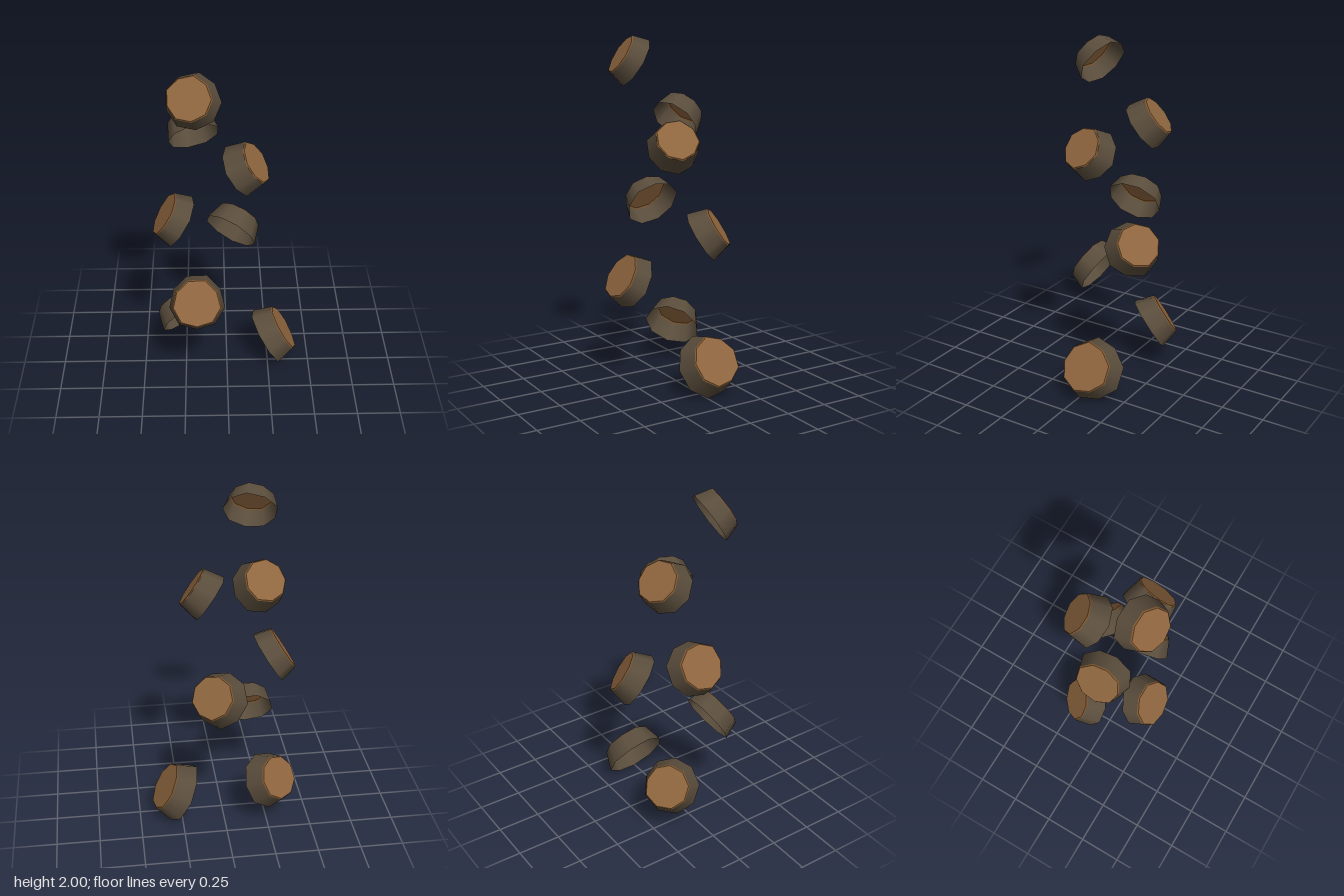
import * as THREE from 'three';

const SIDES = 9;

// Small seeded generator for the uneven outlines
function seeded(seed) {
  let s = seed * 7919 + 13;
  return () => ((s = (s * 16807) % 2147483647) / 2147483647);
}

// Scale each spoke of a round geometry (axis y) by its own factor
function roughen(geometry, factors) {
  const p = geometry.attributes.position;
  for (let i = 0; i < p.count; i++) {
    const x = p.getX(i), z = p.getZ(i);
    if (Math.hypot(x, z) < 1e-5) continue;
    const turn = Math.atan2(x, z) / (Math.PI * 2) + 1;
    const f = factors[Math.round(turn * SIDES) % SIDES];
    p.setX(i, x * f);
    p.setZ(i, z * f);
  }
  return geometry;
}

export function createModel() {
  const bark = new THREE.MeshStandardMaterial({ color: 0x5a4d3c, side: THREE.DoubleSide });
  const wood = new THREE.MeshStandardMaterial({ color: 0x8f663f, side: THREE.DoubleSide });
  const woodEdge = new THREE.MeshStandardMaterial({ color: 0x7f552c, side: THREE.DoubleSide });
  bark.name = 'bark';
  wood.name = 'cut wood';
  woodEdge.name = 'cut wood edge';

  // One open stub: tapered bark wall, narrow worn edge, flat cut face
  function makeStub({ rim, normal, depth, rimR, capR }, index) {
    const rand = seeded(index + 1);
    const factors = Array.from({ length: SIDES }, () => 0.96 + rand() * 0.09);
    const lip = 0.006;
    const wallH = depth - lip;
    const stub = new THREE.Group();
    stub.name = 'stub' + (index + 1);

    const add = (name, geometry, material) => {
      const mesh = new THREE.Mesh(roughen(geometry, factors), material);
      mesh.name = name;
      stub.add(mesh);
    };
    add('barkWall', new THREE.CylinderGeometry(capR + lip, rimR, wallH, SIDES, 1, true)
      .translate(0, wallH / 2, 0), bark);
    add('cutEdge', new THREE.CylinderGeometry(capR, capR + lip, lip, SIDES, 1, true)
      .translate(0, depth - lip / 2, 0), woodEdge);
    add('cutFace', new THREE.CircleGeometry(capR, SIDES, Math.PI / 2)
      .rotateX(-Math.PI / 2).rotateY(Math.PI).translate(0, depth, 0), wood);

    stub.quaternion.setFromUnitVectors(
      new THREE.Vector3(0, 1, 0), new THREE.Vector3(...normal).normalize());
    stub.position.set(...rim);
    return stub;
  }

  // Stubs spiralling upward: centre of the open rim, outward direction, sizes
  const stubs = [
    { rim: [0.246, 0.163, -0.042], normal: [0.85, 0.51, -0.06], depth: 0.12, rimR: 0.182, capR: 0.142 },
    { rim: [-0.245, 0.272, -0.12], normal: [-0.55, 0.53, -0.65], depth: 0.12, rimR: 0.165, capR: 0.125 },
    { rim: [-0.175, 0.588, 0.178], normal: [0, 0.53, 0.85], depth: 0.105, rimR: 0.16, capR: 0.133 },
    { rim: [0.025, 0.86, -0.155], normal: [0.5, 0.54, -0.68], depth: 0.12, rimR: 0.162, capR: 0.122 },
    { rim: [-0.265, 1.03, 0], normal: [-0.85, 0.53, 0.04], depth: 0.105, rimR: 0.16, capR: 0.128 },
    { rim: [0.06, 1.385, 0.062], normal: [0.8, 0.56, 0.2], depth: 0.125, rimR: 0.146, capR: 0.117 },
    { rim: [-0.18, 1.52, -0.1], normal: [-0.25, 0.62, -0.74], depth: 0.12, rimR: 0.148, capR: 0.115 },
    { rim: [-0.18, 1.855, 0.16], normal: [-0.2, 0.53, 0.82], depth: 0.1, rimR: 0.148, capR: 0.115 },
  ];

  const model = new THREE.Group();
  model.name = 'branchStubs';
  stubs.forEach((s, i) => model.add(makeStub(s, i)));
  return model;
}
